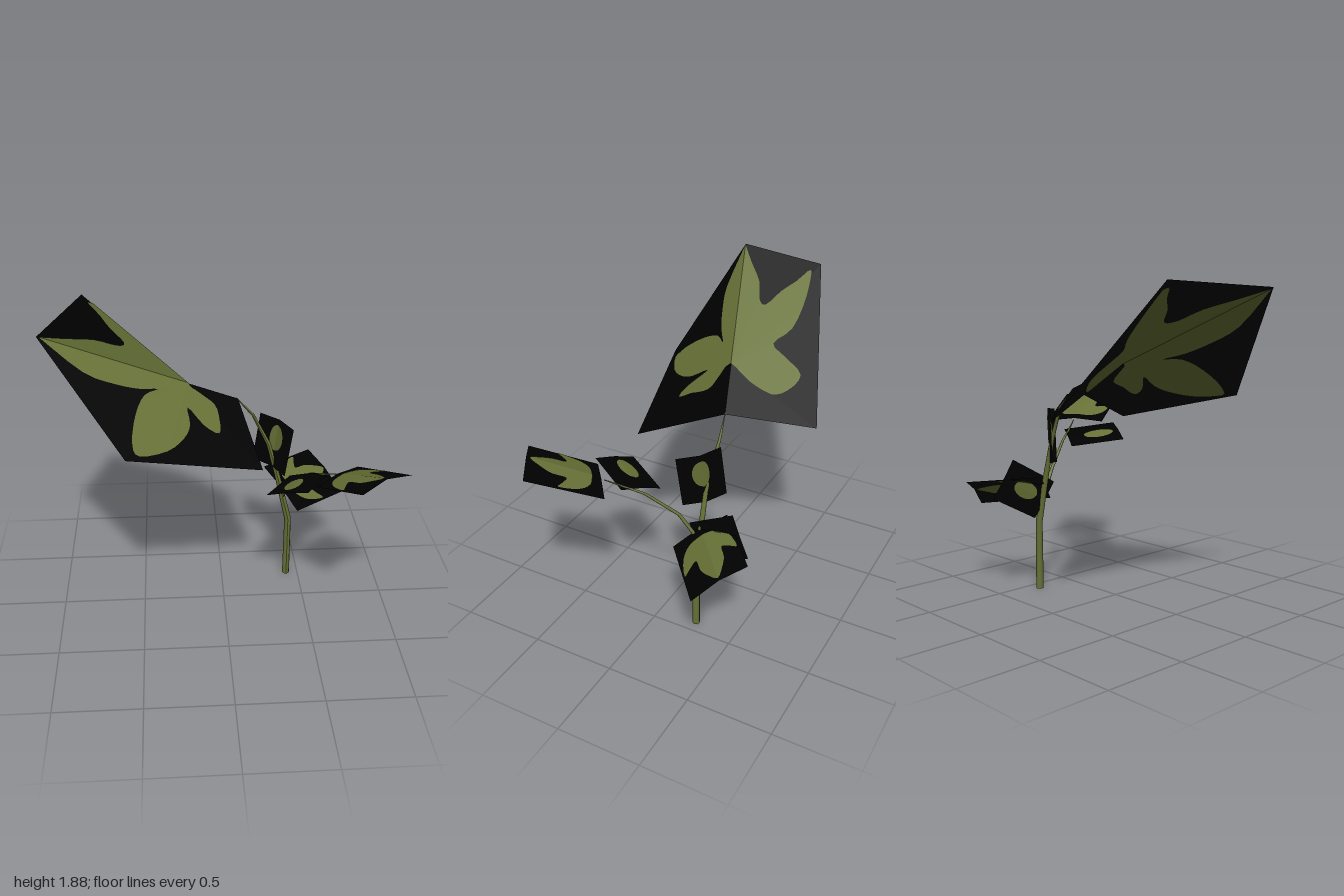
import * as THREE from 'three';

const green = new THREE.MeshStandardMaterial({ color: 0x677136, side: THREE.DoubleSide });
green.name = 'leaf green';
const black = new THREE.MeshStandardMaterial({ color: 0x000000, side: THREE.DoubleSide });
black.name = 'card black';

const V = (p) => new THREE.Vector3(...p);

// Mesh from a flat list of triangle corners and their normals
function surface(name, points, normals, material) {
  const g = new THREE.BufferGeometry().setFromPoints(points);
  g.setAttribute('normal', new THREE.Float32BufferAttribute(normals.flatMap((n) => n.toArray()), 3));
  const m = new THREE.Mesh(g, material);
  m.name = name;
  return m;
}

// Tapered stem: a cylinder whose rings are moved onto [x, y, z, radius] points
function twig(name, pts) {
  const n = pts.length - 1;
  const path = pts.map((p) => V(p.slice(0, 3)));
  const turns = path.map((p, i) => {
    const along = path[Math.min(i + 1, n)].clone().sub(path[Math.max(i - 1, 0)]).normalize();
    return new THREE.Quaternion().setFromUnitVectors(new THREE.Vector3(0, 1, 0), i ? along : new THREE.Vector3(0, 1, 0));
  });
  const g = new THREE.CylinderGeometry(1, 1, 1, 8, n);
  const pos = g.attributes.position, v = new THREE.Vector3();
  for (let k = 0; k < pos.count; k++) {
    v.fromBufferAttribute(pos, k);
    const i = Math.round((v.y + 0.5) * n);
    v.setY(0).multiplyScalar(pts[i][3]).applyQuaternion(turns[i]).add(path[i]);
    pos.setXYZ(k, v.x, v.y, v.z);
  }
  g.computeVertexNormals();
  const m = new THREE.Mesh(g, green);
  m.name = name;
  return m;
}

const cross = (a, b, p) => (b.x - a.x) * (p.y - a.y) - (b.y - a.y) * (p.x - a.x);

// Clip a flat outline to a triangle
function clip(poly, tri) {
  const t = cross(...tri) < 0 ? [...tri].reverse() : tri;
  for (let i = 0; i < 3; i++) {
    const a = t[i], b = t[(i + 1) % 3], out = [];
    poly.forEach((p, k) => {
      const q = poly[(k + 1) % poly.length];
      const dp = cross(a, b, p), dq = cross(a, b, q);
      if (dp >= 0) out.push(p);
      if ((dp >= 0) !== (dq >= 0)) out.push(p.clone().lerp(q, dp / (dp - dq)));
    });
    poly = out;
  }
  return poly;
}

// Folded card (ring: base, side, side, tip, side, side) with a leaf laid on both faces.
// The leaf outline is given along the two named axes.
function leaf(name, ring, axes, outline, foldAt = 0.5) {
  const group = new THREE.Group();
  group.name = name;
  const r = ring.map(V);
  const centre = r[0].clone().lerp(r[3], foldAt);
  const flat = (p) => new THREE.Vector2(p[axes[0]], p[axes[1]]);
  const loop = outline.map((p) => new THREE.Vector2(...p));
  const smooth = new THREE.SplineCurve([...loop, loop[0]]).getPoints(loop.length * 3).slice(0, -1);
  const card = [], cardN = [], paint = [[], []], paintN = [[], []];

  // Each half shares one normal; the blade is lifted along the mean of both
  const halves = [0, 3].map((start) => {
    const tris = [0, 1, 2].map((k) => [centre, r[start + k], r[(start + k + 1) % 6]]);
    const n = new THREE.Vector3();
    tris.forEach(([a, b, c]) => n.add(b.clone().sub(a).cross(c.clone().sub(a))));
    return { tris, n: n.normalize() };
  });
  const lift = halves[0].n.clone().add(halves[1].n).setLength(0.0045);

  for (const { tris, n } of halves) {
    for (const tri of tris) {
      card.push(...tri);
      cardN.push(n, n, n);
      const f = tri.map(flat), area = cross(...f);
      const piece = clip(smooth, f);
      if (piece.length < 3 || Math.abs(area) < 1e-6) continue;
      const to3D = (p) => new THREE.Vector3()
        .addScaledVector(tri[0], cross(f[1], f[2], p) / area)
        .addScaledVector(tri[1], cross(f[2], f[0], p) / area)
        .addScaledVector(tri[2], cross(f[0], f[1], p) / area);
      for (const ids of THREE.ShapeUtils.triangulateShape(piece, [])) {
        const t = ids.map((i) => piece[i]);
        if (cross(...t) * area < 0) t.reverse();
        [1, -1].forEach((s, side) => {
          paint[side].push(...t.map((p) => to3D(p).addScaledVector(lift, s)));
          paintN[side].push(n, n, n);
        });
      }
    }
  }
  group.add(surface(name + 'Card', card, cardN, black));
  ['Upper', 'Lower'].forEach((s, i) => group.add(surface(name + s + 'Blade', paint[i], paintN[i], green)));
  return group;
}

// Oval outline between two ends
function oval(x0, y0, x1, y1, width) {
  const dx = x1 - x0, dy = y1 - y0, l = Math.hypot(dx, dy);
  return Array.from({ length: 10 }, (_, i) => {
    const a = (i / 10) * Math.PI * 2, u = 0.5 - 0.5 * Math.cos(a), w = (Math.sin(a) * width) / 2;
    return [x0 + dx * u - (dy / l) * w, y0 + dy * u + (dx / l) * w];
  });
}

// Three-lobed outline from base to tip, with the half width as a vector
function trefoil([bx, bz], [tx, tz], [wx, wz]) {
  const side = [[0.5, 0.15], [0.83, 0.31], [0.95, 0.58], [0.74, 0.53], [0.46, 0.47], [0.42, 0.66], [0.24, 0.82]];
  const mirrored = side.map(([u, v]) => [-u, v]).reverse();
  return [[0, 0.12], ...side, [0, 0.95], ...mirrored]
    .map(([u, v]) => [bx + (tx - bx) * v + wx * u, bz + (tz - bz) * v + wz * u]);
}

export function createModel() {
  const model = new THREE.Group();
  model.name = 'plant';

  // Stems
  model.add(twig('mainStem', [
    [0.425, 0, -0.245, 0.023], [0.425, 0.42, -0.245, 0.021], [0.345, 0.755, -0.245, 0.016],
    [0.29, 0.957, -0.245, 0.013], [0.195, 1.145, -0.265, 0.009], [0.09, 1.27, -0.247, 0.003],
  ]));
  model.add(twig('sideBranch', [
    [0.385, 0.58, -0.245, 0.013], [0.425, 0.75, -0.134, 0.01],
    [0.515, 0.89, 0.03, 0.008], [0.567, 0.935, 0.12, 0.006], [0.63, 0.99, 0.22, 0.003],
  ]));

  // Large lobed leaf at the top
  model.add(leaf('largeLeaf', [
    [0.1, 1.265, -0.25], [-0.21, 1.135, -0.68], [-0.8, 1.875, -0.415],
    [-1, 1.84, 0.17], [-0.555, 1.227, 0.435], [0.205, 1.05, 0.26],
  ], 'xz', [
    [-0.99, 0.166], [-0.86, 0.06], [-0.72, -0.06], [-0.6, -0.12], [-0.56, -0.18], [-0.64, -0.24],
    [-0.7, -0.31], [-0.765, -0.37], [-0.64, -0.4], [-0.49, -0.385], [-0.385, -0.315], [-0.37, -0.4],
    [-0.35, -0.51], [-0.26, -0.47], [-0.2, -0.39], [-0.18, -0.27], [-0.2, -0.13], [-0.13, -0.1],
    [-0.05, -0.07], [-0.03, 0.03], [-0.035, 0.12], [-0.12, 0.1], [-0.21, 0.02], [-0.2, 0.12],
    [-0.235, 0.21], [-0.33, 0.315], [-0.48, 0.39], [-0.52, 0.34], [-0.5, 0.2], [-0.45, 0.08],
    [-0.375, 0.005], [-0.48, 0.07], [-0.61, 0.13], [-0.77, 0.18],
  ], 0.273));

  // Three-lobed leaf at the end of the branch
  model.add(leaf('branchLeaf', [
    [0.635, 1.0, 0.235], [0.497, 0.98, 0.348], [0.69, 1.11, 0.674],
    [0.835, 1.147, 0.577], [0.997, 1.112, 0.48], [0.775, 0.98, 0.123],
  ], 'xz', trefoil([0.636, 0.235], [0.838, 0.577], [0.147, -0.105])));

  // Three-lobed leaf low on the stem
  model.add(leaf('lowerLeaf', [
    [0.37, 0.66, -0.24], [0.278, 0.733, -0.364], [0.604, 0.698, -0.652],
    [0.7, 0.625, -0.53], [0.795, 0.503, -0.41], [0.467, 0.545, -0.118],
  ], 'xz', trefoil([0.38, -0.25], [0.703, -0.533], [0.092, 0.121])));

  // Small oval leaves
  model.add(leaf('uprightLeaf', [
    [0.385, 0.56, -0.23], [0.37, 0.67, -0.17], [0.4, 0.836, -0.458],
    [0.42, 0.72, -0.515], [0.44, 0.61, -0.577], [0.41, 0.453, -0.29],
  ], 'zy', oval(-0.29, 0.6, -0.44, 0.68, 0.1)));
  model.add(leaf('stemLeaf', [
    [0.311, 0.803, -0.247], [0.2, 0.82, -0.32], [0.243, 1.144, -0.3],
    [0.354, 1.127, -0.228], [0.425, 1.11, -0.115], [0.382, 0.786, -0.134],
  ], 'xy', oval(0.325, 0.915, 0.345, 1.09, 0.068)));
  model.add(leaf('innerLeaf', [
    [0.503, 0.912, 0.06], [0.61, 0.94, 0.123], [0.444, 0.975, 0.4],
    [0.335, 0.945, 0.342], [0.225, 0.9, 0.283], [0.396, 0.866, 0],
  ], 'xz', oval(0.435, 0.135, 0.345, 0.303, 0.095)));

  return model;
}
